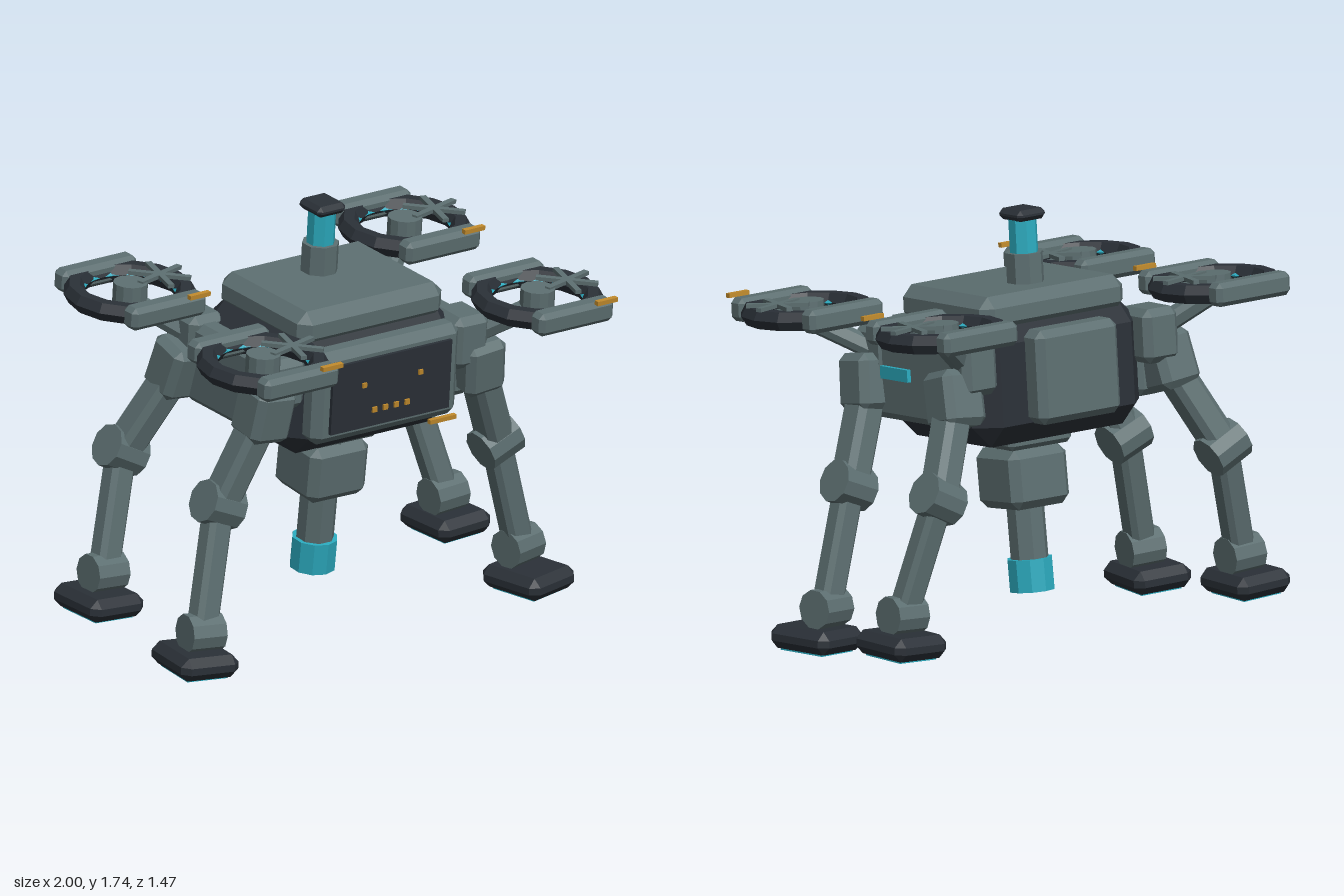
import * as THREE from 'three';
import { ConvexGeometry } from 'three/addons/geometries/ConvexGeometry.js';

const paint = (name, color, extra = {}) => {
  const m = new THREE.MeshStandardMaterial({ color, flatShading: true, ...extra });
  m.name = name;
  return m;
};
const V = (x, y, z) => new THREE.Vector3(x, y, z);

export function createModel() {
  const grey = paint('hull grey', 0x5c6e70);
  const dark = paint('dark trim', 0x2a3037);
  const cyan = paint('cyan light', 0x2ba9bd);
  const amber = paint('amber marker', 0xc08a2c);

  const root = new THREE.Group();
  root.name = 'walkerDrone';

  const add = (parent, name, geo, mat, x = 0, y = 0, z = 0) => {
    const m = new THREE.Mesh(geo, mat);
    m.name = name;
    m.position.set(x, y, z);
    parent.add(m);
    return m;
  };
  const group = (parent, name, x, y, z) => {
    const g = new THREE.Group();
    g.name = name;
    g.position.set(x, y, z);
    parent.add(g);
    return g;
  };
  const box = (w, h, d) => new THREE.BoxGeometry(w, h, d);
  const cyl = (r, h, n) => new THREE.CylinderGeometry(r, r, h, n);

  // Box with every edge bevelled by c
  const bevel = (w, h, d, c) => {
    const pts = [];
    for (const sx of [-1, 1]) for (const sy of [-1, 1]) for (const sz of [-1, 1]) {
      const x = w / 2, y = h / 2, z = d / 2;
      pts.push(V(sx * x, sy * (y - c), sz * (z - c)),
        V(sx * (x - c), sy * y, sz * (z - c)),
        V(sx * (x - c), sy * (y - c), sz * z));
    }
    return new ConvexGeometry(pts);
  };

  // Bevelled beam from a to b; its local x is the hinge axis
  const beam = (parent, name, a, b, w, d, c = 0.02) => {
    const dir = b.clone().sub(a);
    const m = add(parent, name, bevel(w, dir.length(), d, c), grey);
    m.position.copy(a).add(b).multiplyScalar(0.5);
    const yAxis = dir.normalize();
    const xAxis = yAxis.clone().cross(V(0, 0, 1)).normalize();
    m.quaternion.setFromRotationMatrix(
      new THREE.Matrix4().makeBasis(xAxis, yAxis, xAxis.clone().cross(yAxis)));
    return m;
  };
  const hinge = (parent, name, p, r, len, like) => {
    const m = add(parent, name, cyl(r, len, 10).rotateZ(Math.PI / 2), grey, p.x, p.y, p.z);
    m.quaternion.copy(like.quaternion);
  };

  // Body, leaning slightly forward
  const body = group(root, 'body', 0.005, 1.09, -0.04);
  body.rotation.set(0.085, 0.025, 0);
  add(body, 'hull', bevel(0.84, 0.51, 0.66, 0.09), dark);
  add(body, 'lid', bevel(0.72, 0.15, 0.58, 0.045), grey, 0, 0.275, 0);
  add(body, 'frontPlate', bevel(0.72, 0.39, 0.12, 0.035), grey, 0, 0.02, 0.34);
  add(body, 'facePanel', box(0.59, 0.29, 0.03), dark, 0, 0.02, 0.4);
  add(body, 'backPlate', bevel(0.41, 0.38, 0.13, 0.03), grey, 0, 0.02, -0.36);
  for (const x of [-0.14, 0.14]) add(body, 'eye', box(0.02, 0.02, 0.009), amber, x, 0.06, 0.419);
  for (let i = 0; i < 4; i++) {
    add(body, 'indicator', box(0.022, 0.022, 0.009), amber, -0.083 + i * 0.054, -0.055, 0.419);
  }
  add(body, 'chinMarker', box(0.13, 0.018, 0.02), amber, 0.26, -0.165, 0.42);
  for (const s of [-1, 1]) {
    add(body, 'sidePanel', bevel(0.12, 0.34, 0.55, 0.03), grey, s * 0.46, 0.01, 0.01);
    add(body, 'sideLight', box(0.02, 0.05, 0.175), cyan, s * 0.528, 0.035, 0.1);
  }

  // Sensor mast
  const mast = group(body, 'mast', -0.002, 0.34, -0.085);
  add(mast, 'mastBase', cyl(0.076, 0.13, 8).rotateY(Math.PI / 8), grey, 0, 0.065, 0);
  add(mast, 'mastLight', cyl(0.058, 0.15, 8).rotateY(Math.PI / 8), cyan, 0, 0.2, 0);
  add(mast, 'mastCap', bevel(0.14, 0.045, 0.15, 0.018), dark, 0, 0.285, 0);

  // Ducted rotors at the four corners
  for (const sx of [-1, 1]) for (const sz of [-1, 1]) {
    const c = V(sx * 0.685, 0.275, sz * 0.435 + 0.015);
    beam(body, 'rotorArm', V(sx * 0.46, 0.09, sz * 0.27), c.clone().add(V(0, -0.03, 0)), 0.08, 0.08);
    const rotor = group(body, 'rotor', c.x, c.y, c.z);
    const ring = new THREE.TorusGeometry(0.226, 0.043, 6, 14).rotateX(Math.PI / 2);
    add(rotor, 'duct', ring, dark);
    add(rotor, 'ductLight', new THREE.TorusGeometry(0.19, 0.01, 4, 24).rotateX(Math.PI / 2), cyan);
    add(rotor, 'hub', cyl(0.07, 0.09, 12), grey);
    for (let i = 0; i < 3; i++) {
      add(rotor, 'blade', box(0.25, 0.016, 0.026), grey, 0.145, 0.045, 0).rotation.y = 0.25 + i * Math.PI / 3;
    }
    for (const s of [-1, 1]) {
      add(rotor, 'ductRail', bevel(0.37, 0.095, 0.085, 0.02), grey, 0, 0.005, s * 0.228);
    }
    add(rotor, 'railMarker', box(0.1, 0.018, 0.022), amber, 0.13, 0.058, 0.277);
  }

  // Probe hanging under the body
  const probe = group(root, 'probe', 0.005, 0.84, -0.055);
  probe.rotation.x = 0.14;
  add(probe, 'probeCollar', bevel(0.31, 0.1, 0.31, 0.02), grey, 0, -0.01, 0).rotation.x = -0.055;
  add(probe, 'probeHousing', bevel(0.285, 0.24, 0.28, 0.035), grey, 0, -0.19, 0);
  add(probe, 'probeNeck', cyl(0.11, 0.12, 8), grey, 0, -0.08, 0);
  add(probe, 'probeShaft', cyl(0.077, 0.24, 8).rotateY(Math.PI / 8), grey, 0, -0.42, 0);
  add(probe, 'probeTip', cyl(0.093, 0.13, 10), cyan, 0, -0.585, 0);

  // Legs: hip, knee, ankle and foot positions, caught mid-step
  const legs = [
    { name: 'frontLeftLeg', hip: V(0.53, 1.05, 0.235), knee: V(0.69, 0.665, 0.15), ankle: V(0.83, 0.195, 0.11), foot: V(0.85, 0.07, 0.15), yaw: 0.2 },
    { name: 'frontRightLeg', hip: V(-0.52, 1.05, 0.25), knee: V(-0.68, 0.665, 0.165), ankle: V(-0.81, 0.175, 0.23), foot: V(-0.835, 0.066, 0.22), yaw: -0.13 },
    { name: 'backLeftLeg', hip: V(0.53, 1.09, -0.335), knee: V(0.71, 0.735, -0.47), ankle: V(0.84, 0.27, -0.41), foot: V(0.86, 0.158, -0.425), yaw: 0.03 },
    { name: 'backRightLeg', hip: V(-0.53, 1.09, -0.315), knee: V(-0.71, 0.735, -0.45), ankle: V(-0.84, 0.27, -0.39), foot: V(-0.865, 0.158, -0.39), yaw: 0 },
  ];
  for (const { name, hip, knee, ankle, foot, yaw } of legs) {
    const leg = group(root, name, 0, 0, 0);
    const side = Math.sign(hip.x);
    add(leg, 'shoulder', bevel(0.17, 0.22, 0.2, 0.03), grey, side * 0.455, hip.y + 0.12, hip.z * 0.97).rotation.x = 0.085;
    const thighDir = knee.clone().sub(hip).normalize();
    const thigh = beam(leg, 'thigh', hip, knee, 0.125, 0.14, 0.025);
    const hipBlock = add(leg, 'hip', bevel(0.19, 0.23, 0.19, 0.03), grey, hip.x, hip.y, hip.z);
    hipBlock.rotation.set(-Math.atan2(thighDir.z, -thighDir.y) * 0.9, 0, side * 0.1);
    const shinEnd = ankle.clone().add(ankle.clone().sub(knee).normalize().multiplyScalar(0.02));
    const shin = beam(leg, 'shin', knee, shinEnd, 0.11, 0.1, 0.02);
    hinge(leg, 'kneeJoint', knee, 0.088, 0.16, thigh);
    hinge(leg, 'ankleJoint', ankle, 0.08, 0.15, shin);
    leg.children[leg.children.length - 1].rotation.set(0, yaw, side * 0.06);

    const pad = group(leg, 'foot', foot.x, foot.y, foot.z);
    pad.rotation.set(0.03, yaw, side * 0.05);
    add(pad, 'footPad', bevel(0.26, 0.095, 0.31, 0.033), dark);
    add(pad, 'sole', box(0.18, 0.02, 0.22), cyan, 0, -0.045, 0);
  }
  return root;
}
